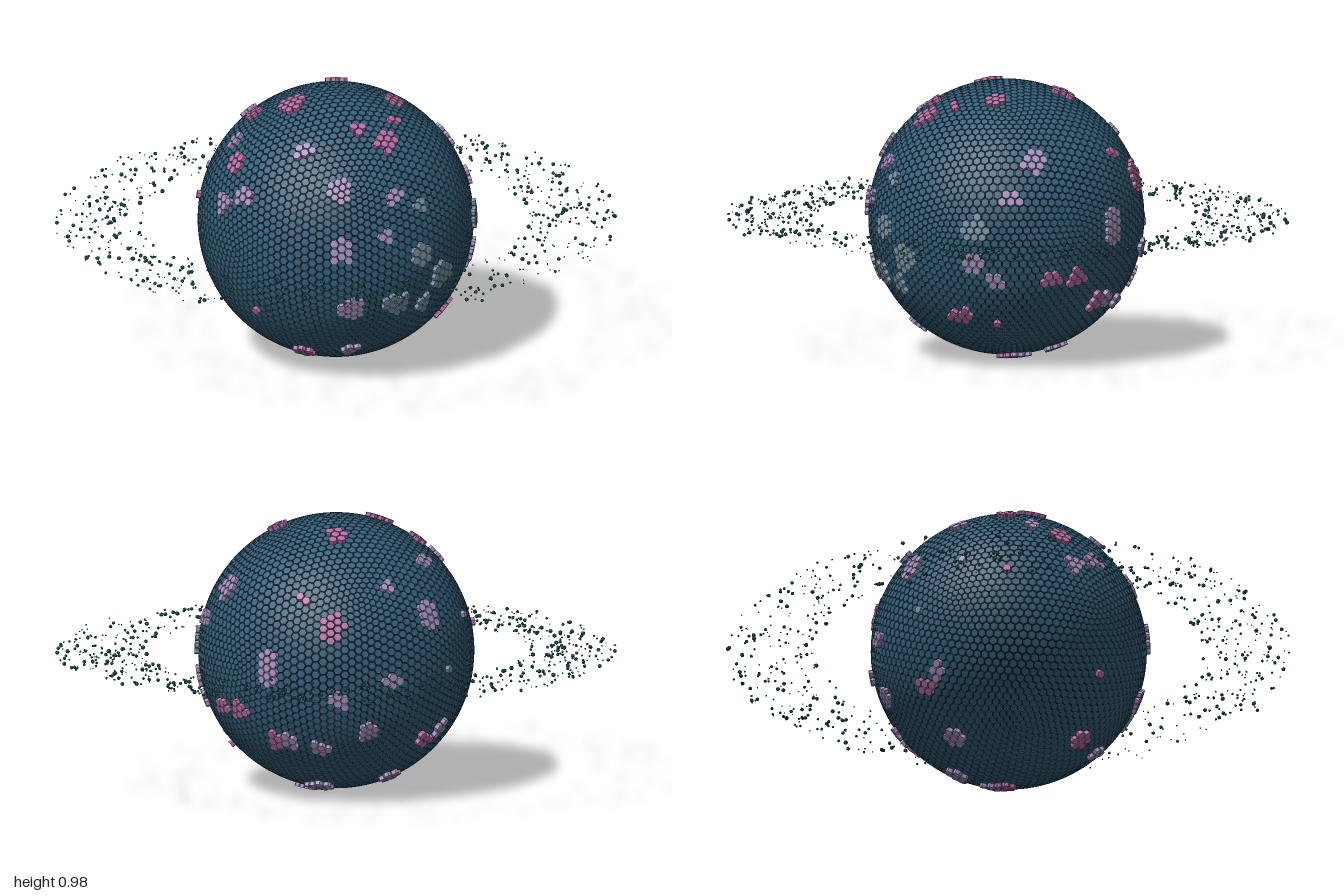
import * as THREE from 'three';
import { mergeGeometries } from 'three/addons/utils/BufferGeometryUtils.js';

const CENTER_Y = 0.495;
const CORE = 0.472, TILE = 0.484, RAISED = 0.497;
const TINY = 0.016, SMALL = 0.025, MID = 0.035, BIG = 0.046;

// Raised tile patches, grouped by the side they face: [across, up, reach, colour]
const patchSides = [
  { yaw: 0, pitch: 0, spots: [
    [-0.07, 0.25, BIG, 'lilac'], [-0.17, 0.355, MID, 'lilac'], [-0.37, 0.195, MID, 'lilac'],
    [-0.07, 0.05, BIG, 'lilac'], [0.095, 0.085, SMALL, 'lilac'], [0.125, 0.215, MID, 'lilac'],
    [0.225, 0.0, BIG, 'mist'], [0.305, -0.1, BIG, 'mist'], [0.13, -0.175, BIG, 'mist'],
    [0.235, -0.195, MID, 'mist'], [-0.035, -0.175, BIG, 'lilac'], [-0.01, -0.375, MID, 'lilac'],
    [-0.15, -0.4, MID, 'pink'], [0.125, 0.375, BIG, 'pink'], [0.025, 0.415, SMALL, 'pink'],
    [-0.335, -0.225, TINY, 'pink'], [0.335, -0.3, MID, 'pink'], [0.226, 0.165, SMALL, 'mist'],
  ] },
  { yaw: 90, pitch: 0, spots: [
    [0.085, 0.255, BIG, 'lilac'], [0, 0.135, MID, 'lilac'], [-0.12, 0.025, BIG, 'mist'],
    [-0.13, -0.095, MID, 'lilac'], [-0.05, -0.155, MID, 'lilac'], [0.145, -0.155, MID, 'pink'],
    [0.235, -0.155, MID, 'pink'], [0.3, -0.255, MID, 'pink'], [0.36, 0.045, MID, 'lilac'],
    [0.36, -0.02, MID, 'lilac'], [-0.04, -0.33, TINY, 'pink'], [0.165, -0.445, MID, 'lilac'],
    [0, -0.475, MID, 'pink'],
  ] },
  { yaw: 0, pitch: 90, spots: [
    [-0.17, -0.05, BIG, 'pink'], [0.195, -0.045, MID, 'pink'], [0.16, -0.185, SMALL, 'pink'],
    [0.04, 0.195, MID, 'pink'], [-0.285, 0.045, MID, 'pink'], [-0.265, 0.21, MID, 'lilac'],
    [-0.1, 0.37, SMALL, 'lilac'], [0.19, 0.37, SMALL, 'pink'], [0.1, 0.44, MID, 'pink'],
    [-0.375, -0.125, MID, 'pink'],
  ] },
  { yaw: 215, pitch: 24, spots: [
    [-0.01, -0.016, BIG, 'lilac'], [-0.35, 0.027, BIG, 'pink'], [-0.19, -0.207, MID, 'lilac'],
    [0.2, -0.027, TINY, 'lilac'], [0.31, 0.217, SMALL, 'lilac'], [0.35, -0.05, TINY, 'pink'],
    [0.05, -0.21, TINY, 'mist'], [0.01, -0.41, MID, 'pink'], [0.45, 0.09, MID, 'lilac'],
  ] },
  { yaw: 144, pitch: -30, spots: [
    [0.2, 0.136, MID, 'lilac'], [0, -0.01, MID, 'lilac'], [0.105, -0.045, MID, 'lilac'],
    [0.27, -0.01, MID, 'lilac'], [0.02, -0.29, BIG, 'lilac'], [-0.07, -0.355, MID, 'lilac'],
    [0.24, -0.315, MID, 'lilac'], [-0.375, -0.22, MID, 'pink'], [0.42, -0.17, MID, 'lilac'],
  ] },
];

const colors = { blue: 0x35607c, pink: 0xb56fa6, lilac: 0xa592c0, mist: 0x7895a8 };

// Turns the patch lists into points on the globe
function patchCenters() {
  const rad = THREE.MathUtils.degToRad;
  return patchSides.flatMap(({ yaw, pitch, spots }) => {
    const turn = new THREE.Euler(-rad(pitch), rad(yaw), 0, 'YXZ');
    return spots.map(([u, v, reach, color]) => {
      const w = Math.sqrt(Math.max(0, TILE * TILE - u * u - v * v));
      const point = new THREE.Vector3(u, v, w).setLength(TILE).applyEuler(turn);
      return { point, reach, color };
    });
  });
}

// Hexagonal cells: each vertex of a subdivided icosahedron, ringed by its triangles' centres
function globeCells() {
  const pos = new THREE.IcosahedronGeometry(1, 20).attributes.position;
  const cells = new Map();
  for (let i = 0; i < pos.count; i += 3) {
    const tri = [0, 1, 2].map((k) => new THREE.Vector3().fromBufferAttribute(pos, i + k));
    const mid = tri[0].clone().add(tri[1]).add(tri[2]).normalize();
    for (const p of tri) {
      const key = p.toArray().map((n) => Math.round(n * 2000)).join();
      if (!cells.has(key)) cells.set(key, { normal: p, corners: [] });
      cells.get(key).corners.push(mid);
    }
  }
  for (const { normal, corners } of cells.values()) {
    const t = corners[0].clone().projectOnPlane(normal).normalize();
    const b = normal.clone().cross(t);
    const angle = (c) => Math.atan2(c.dot(b), c.dot(t));
    corners.sort((p, q) => angle(p) - angle(q));
  }
  return [...cells.values()];
}

// Adds one prism-shaped tile to a list of triangle corners
function addTile(out, { normal, corners }, radius) {
  const rim = corners.map((c) => c.clone().lerp(normal, 0.12).normalize());
  const push = (dir, r) => out.push(dir.x * r, dir.y * r, dir.z * r);
  rim.forEach((a, i) => {
    const b = rim[(i + 1) % rim.length];
    push(normal, radius); push(a, radius); push(b, radius);
    push(a, CORE); push(b, CORE); push(b, radius);
    push(a, CORE); push(b, radius); push(a, radius);
  });
}

function seeded(seed) {
  return () => {
    seed = (seed * 16807) % 2147483647;
    return seed / 2147483647;
  };
}

// Flat belt of small rocks
function beltGeometry() {
  const rand = seeded(4217);
  const rocks = [];
  for (let i = 0; i < 850; i++) {
    const angle = rand() * Math.PI * 2;
    const radius = 0.68 + 0.312 * rand();
    const size = 0.0025 + 0.006 * rand() ** 1.5;
    const rock = new THREE.IcosahedronGeometry(size, 0);
    rock.rotateX(rand() * 6).rotateY(rand() * 6);
    rock.translate(Math.cos(angle) * radius, (rand() - 0.5) * 0.026, Math.sin(angle) * radius);
    rocks.push(rock);
  }
  return mergeGeometries(rocks);
}

export function createModel() {
  const model = new THREE.Group();
  model.name = 'ringedPlanet';
  const add = (name, geometry, color, flatShading = true) => {
    const mesh = new THREE.Mesh(geometry, new THREE.MeshStandardMaterial({ color, flatShading }));
    mesh.name = name;
    mesh.position.y = CENTER_Y;
    model.add(mesh);
  };

  // Dark core showing in the gaps between tiles
  add('core', new THREE.IcosahedronGeometry(CORE + 0.002, 20), 0x10181f, false);

  // Tiles sorted by colour, patches standing proud of the rest
  const patches = patchCenters();
  const lists = { blue: [], pink: [], lilac: [], mist: [] };
  const spot = new THREE.Vector3();
  for (const cell of globeCells()) {
    spot.copy(cell.normal).multiplyScalar(TILE);
    const patch = patches.find((p) => p.point.distanceTo(spot) < p.reach);
    addTile(lists[patch ? patch.color : 'blue'], cell, patch ? RAISED : TILE);
  }
  for (const [color, list] of Object.entries(lists)) {
    const geometry = new THREE.BufferGeometry();
    geometry.setAttribute('position', new THREE.Float32BufferAttribute(list, 3));
    geometry.computeVertexNormals();
    add(color + 'Tiles', geometry, colors[color]);
  }

  add('rockBelt', beltGeometry(), 0x23706b);
  return model;
}
